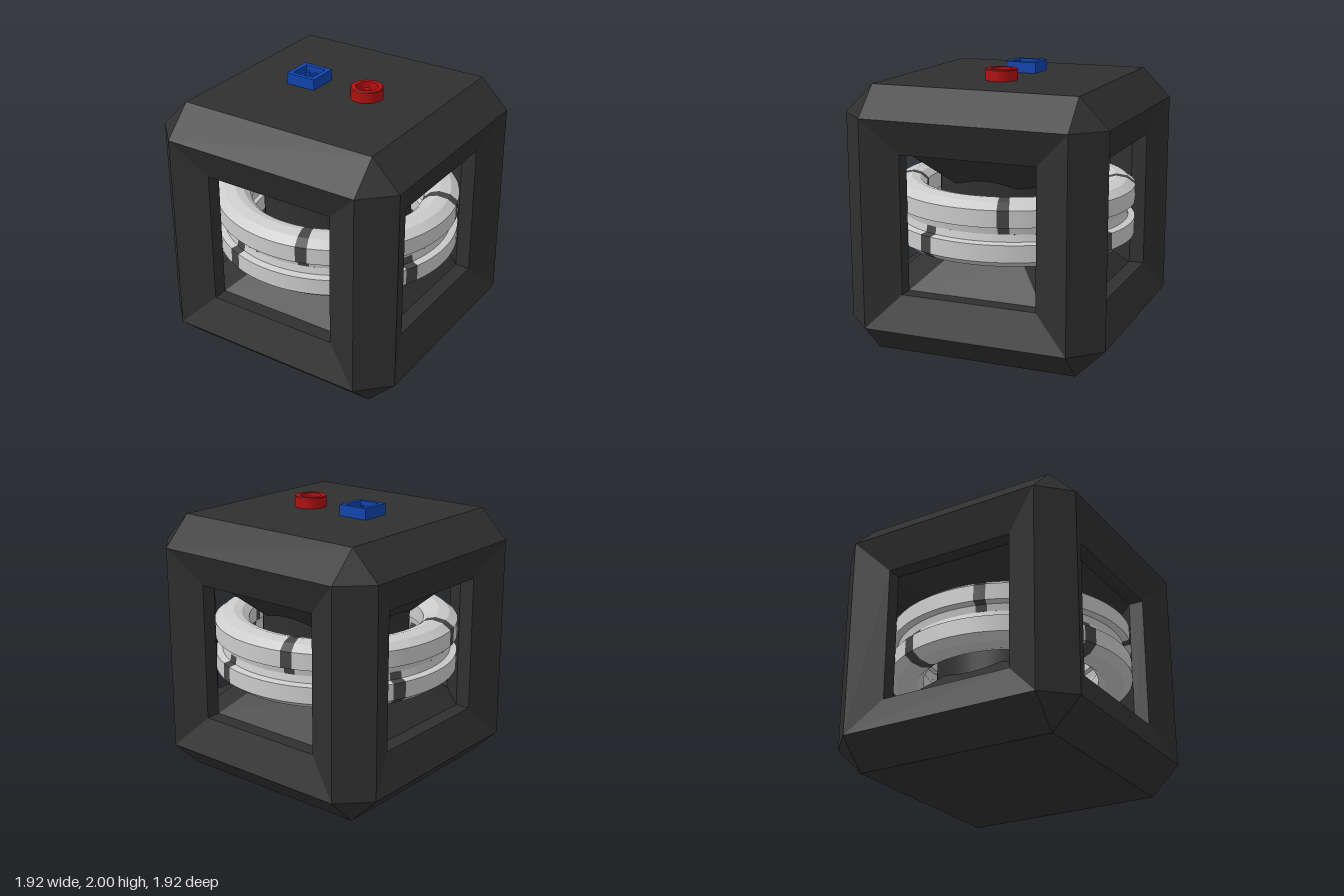
import * as THREE from 'three';
import { toCreasedNormals } from 'three/addons/utils/BufferGeometryUtils.js';

const MID = 0.96; // height of the cube's centre
const mat = (color) => new THREE.MeshStandardMaterial({ color });
const dark = mat(0x303030), grey = mat(0xcccccc), bandMat = mat(0x464646);
const blue = mat(0x1044b0), red = mat(0xb01010);

function add(parent, name, geometry, material, x = 0, y = 0, z = 0) {
  const mesh = new THREE.Mesh(geometry, material);
  mesh.name = name;
  mesh.position.set(x, y, z);
  parent.add(mesh);
  return mesh;
}

const lathe = (pts, segments, start = 0, length = Math.PI * 2) => toCreasedNormals(
  new THREE.LatheGeometry(pts.map(([r, y]) => new THREE.Vector2(r, y)), segments, start, length), 0.3);

// Bevelled cube with a window in each side, built from one side and turned four times
function frameGeometry() {
  const out = [];
  const face = (pts, turn = 0, flipX = false, flipY = false) => {
    const c = Math.cos(turn), s = Math.sin(turn);
    const p = pts.map(([x, y, z]) => {
      if (flipX) x = -x;
      if (flipY) y = -y;
      return [x * c + z * s, y, z * c - x * s];
    });
    if (flipX !== flipY) p.reverse();
    for (let i = 1; i < p.length - 1; i++) out.push(...p[0], ...p[i], ...p[i + 1]);
  };
  const A = 0.96, B = 0.75, W = 0.5, D = 0.86, N = 0.25;
  // faces repeated above and below
  const upDown = [
    [[-W, W, D], [W, W, D], [B, B, A], [-B, B, A]],     // sloped window surround
    [[-W, W, B], [W, W, B], [W, W, D], [-W, W, D]],     // window reveal
    [[-N, N, W], [N, N, W], [W, W, B], [-W, W, B]],     // flare to the core
    [[N, N, W], [W, N, N], [B, W, W], [W, W, B]],       // flare at the corner
    [[-B, B, A], [B, B, A], [B, A, B], [-B, A, B]],     // outer edge bevel
    [[B, B, A], [A, B, B], [B, A, B]],                  // corner
  ];
  // faces repeated left and right
  const leftRight = [
    [[W, -W, D], [B, -B, A], [B, B, A], [W, W, D]],
    [[W, -W, B], [W, -W, D], [W, W, D], [W, W, B]],
  ];
  // pillar bevels, outside and inside
  const pillar = [
    [[B, -B, A], [A, -B, B], [A, B, B], [B, B, A]],
    [[B, -W, W], [W, -W, B], [W, W, B], [B, W, W]],
  ];
  for (let k = 0; k < 4; k++) {
    const t = k * Math.PI / 2;
    for (const f of upDown) { face(f, t); face(f, t, false, true); }
    for (const f of leftRight) { face(f, t); face(f, t, true); }
    for (const f of pillar) face(f, t);
  }
  const cap = [[-B, A, B], [B, A, B], [B, A, -B], [-B, A, -B]];
  face(cap);
  face(cap, 0, false, true);
  const g = new THREE.BufferGeometry();
  g.setAttribute('position', new THREE.Float32BufferAttribute(out, 3));
  g.computeVertexNormals();
  return g;
}

// One ring: four grey arcs separated by four dark bands
function ring(name, profile, bandStart, bandEnd) {
  const group = new THREE.Group();
  group.name = name;
  const rad = THREE.MathUtils.degToRad;
  for (let k = 0; k < 4; k++) {
    const a = rad(bandStart + 90 * k), b = rad(bandEnd + 90 * k);
    add(group, 'ringBand', lathe(profile, 2, a, b - a), bandMat);
    add(group, 'ringArc', lathe(profile, 20, b, Math.PI / 2 - (b - a)), grey);
  }
  group.position.y = MID;
  return group;
}

export function createModel() {
  const model = new THREE.Group();
  model.name = 'cubeDevice';
  add(model, 'frame', frameGeometry(), dark, 0, MID, 0);

  // Core column
  add(model, 'core', new THREE.CylinderGeometry(0.54, 0.54, 0.64, 64, 1, true), dark, 0, MID, 0);

  // Stacked rings, the lower a mirror of the upper
  const upper = [[0.83, 0], [0.84, 0.05], [0.89, 0.06], [0.89, 0.18], [0.83, 0.225], [0.75, 0.24],
    [0.69, 0.225], [0.64, 0.18], [0.64, 0.06], [0.67, 0.05], [0.68, 0]];
  const lower = upper.map(([r, y]) => [r, -y]).reverse();
  model.add(ring('upperRing', upper, 14.3, 19.7));
  model.add(ring('lowerRing', lower, -24.6, -18.3));

  // Square socket with four pins
  const socket = new THREE.Group();
  socket.name = 'squareSocket';
  socket.position.set(-0.24, 1.92, 0);
  const square = (path, h) => path.moveTo(-h, -h).lineTo(h, -h).lineTo(h, h).lineTo(-h, h).closePath();
  const rim = square(new THREE.Shape(), 0.115);
  rim.holes.push(square(new THREE.Path(), 0.08));
  const rimGeo = new THREE.ExtrudeGeometry(rim, { depth: 0.08, bevelEnabled: false });
  add(socket, 'socketRim', rimGeo.rotateX(-Math.PI / 2), blue);
  add(socket, 'socketFloor', new THREE.BoxGeometry(0.16, 0.02, 0.16), blue, 0, 0.01, 0);
  for (const x of [-0.03, 0.03]) for (const z of [-0.03, 0.03])
    add(socket, 'socketPin', new THREE.CylinderGeometry(0.016, 0.016, 0.04, 16), blue, x, 0.04, z);
  model.add(socket);

  // Round socket with one centre pin
  const jack = new THREE.Group();
  jack.name = 'roundSocket';
  jack.position.set(0.24, 1.92, 0);
  add(jack, 'socketRim', lathe([[0.115, 0], [0.115, 0.075], [0.11, 0.08], [0.077, 0.08],
    [0.077, 0.02], [0, 0.02]], 40), red);
  add(jack, 'socketPin', new THREE.CylinderGeometry(0.026, 0.026, 0.04, 20), red, 0, 0.04, 0);
  model.add(jack);

  return model;
}
